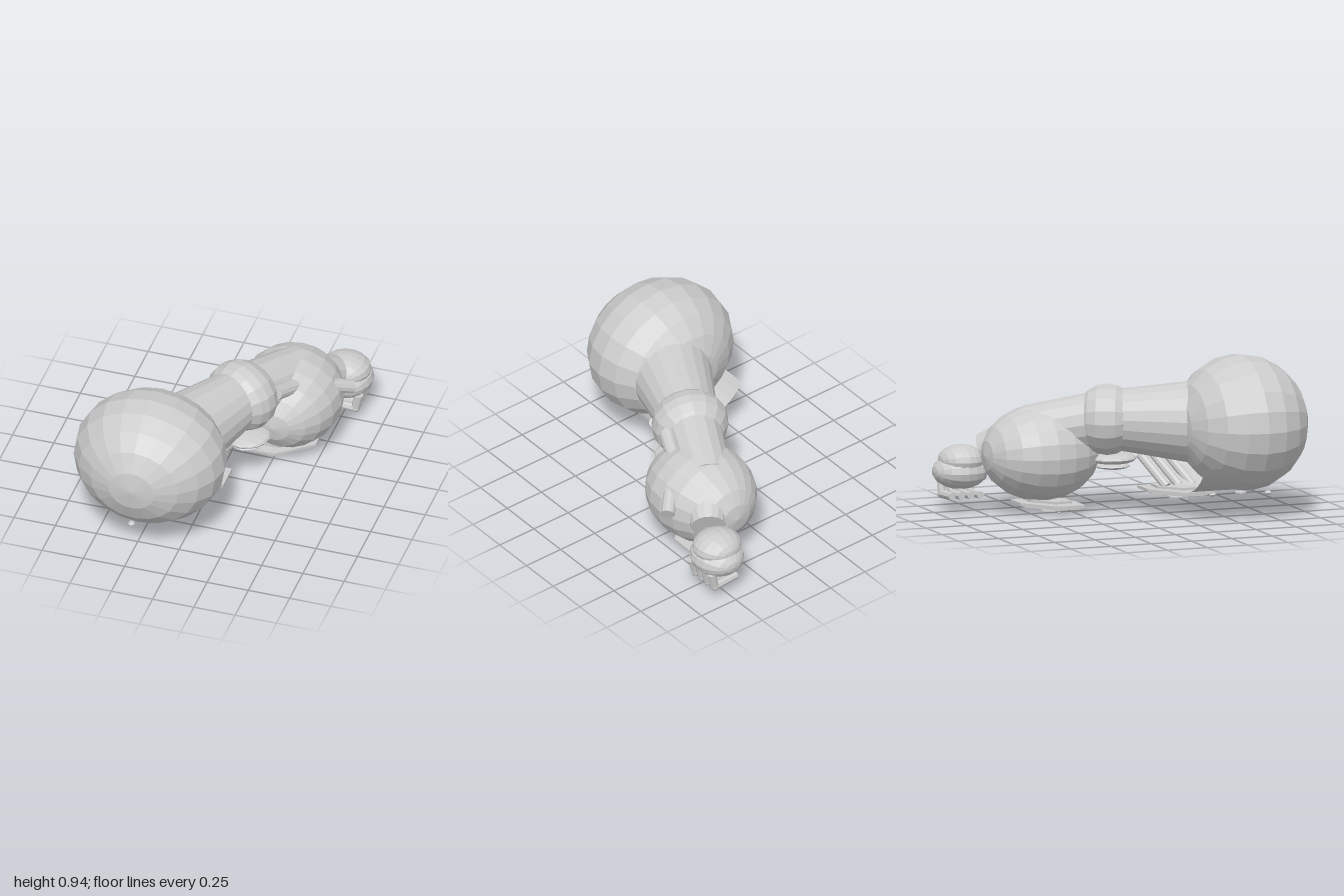
import * as THREE from 'three';

export function createModel() {
  const model = new THREE.Group();
  model.name = 'mechanicalArm';
  const metal = new THREE.MeshStandardMaterial({ color: 0xcccccc, flatShading: true, side: THREE.DoubleSide });
  metal.name = 'light grey metal';
  const V = (p) => new THREE.Vector3(...p);
  const UP = new THREE.Vector3(0, 1, 0);

  function add(name, geo, pos = [0, 0, 0], parent = model) {
    const mesh = new THREE.Mesh(geo, metal);
    mesh.name = name;
    mesh.position.set(...pos);
    parent.add(mesh);
    return mesh;
  }
  // Ellipsoid whose poles lie on z
  function ball(name, pos, [rx, ry, rz], w = 20, h = 10) {
    const geo = new THREE.SphereGeometry(1, w, h).rotateX(Math.PI / 2);
    return add(name, geo.scale(rx, ry, rz), pos);
  }
  // Tapered rod between two points
  function rod(name, a, b, ra, rb = ra, sides = 12) {
    const d = V(b).sub(V(a));
    const mesh = add(name, new THREE.CylinderGeometry(rb, ra, d.length(), sides));
    mesh.position.copy(V(a).addScaledVector(d, 0.5));
    mesh.quaternion.setFromUnitVectors(UP, d.normalize());
    return mesh;
  }

  const elbow = [0.115, 0.55, -0.08];

  // Main masses
  ball('shoulder', [-0.215, 0.54, 0.62], [0.45, 0.397, 0.38]);
  rod('upperArm', [-0.13, 0.54, 0.44], [0.095, 0.55, -0.04], 0.25, 0.175, 20);
  ball('elbow', elbow, [0.225, 0.21, 0.185], 16, 10).rotation.y = -0.44;
  ball('forearm', [0.3, 0.35, -0.42], [0.31, 0.28, 0.35]);
  rod('forearmCore', elbow, [0.32, 0.47, -0.5], 0.175, 0.155, 16);
  rod('wrist', [0.32, 0.45, -0.48], [0.475, 0.35, -0.71], 0.15, 0.1, 16);

  // Rods on the outer side of the forearm
  rod('forearmRod', [0.31, 0.59, -0.11], [0.44, 0.49, -0.42], 0.045);
  rod('sideNozzle', [0.52, 0.47, -0.42], [0.635, 0.405, -0.535], 0.042);

  // Pads below the elbow
  ball('elbowPad', [0.16, 0.315, -0.03], [0.14, 0.035, 0.14], 16, 8);
  ball('elbowPadLower', [0.16, 0.27, -0.03], [0.105, 0.02, 0.105], 16, 6);

  // Curved guard below the shoulder
  const guard = new THREE.CylinderGeometry(0.385, 0.385, 0.42, 12, 1, true, -1, 1.8);
  guard.rotateX(Math.PI / 2);
  add('shoulderGuard', guard, [-0.215, 0.54, 0.48]);

  // Slanted cylinders below the upper arm
  for (let i = 0; i < 3; i++) {
    const z = 0.12 + i * 0.08;
    rod('slantedCylinder', [0.1, 0.335, z], [-0.06, 0.165, z + 0.1], 0.028, 0.028, 10);
  }

  // Six-sided plate with two opposite corners cut off
  const outline = [[0.18, 0.16], [0.18, 0], [-0.02, -0.16], [-0.18, -0.16], [-0.18, 0], [0.02, 0.16]];
  function slab(scale, height) {
    const shape = new THREE.Shape(outline.map(([x, y]) => new THREE.Vector2(x * scale, y * scale)));
    return new THREE.ExtrudeGeometry(shape, { depth: height, bevelEnabled: false }).rotateX(-Math.PI / 2);
  }
  // Layered plates below the arm
  function plateStack(name, pos) {
    const stack = new THREE.Group();
    stack.name = name;
    stack.position.set(...pos);
    model.add(stack);
    for (const [scale, height, y] of [[0.65, 0.014, 0.022], [1, 0.016, 0.002], [0.85, 0.012, -0.01], [0.36, 0.01, -0.02], [0.2, 0.007, -0.036]]) {
      add('plate', slab(scale, height), [0, y, 0], stack);
    }
    for (const s of [-1, 1]) add('plateScrew', new THREE.SphereGeometry(0.007, 6, 4), [s * 0.1, -0.031, -s * 0.03], stack);
  }
  plateStack('forearmPlates', [0.285, 0.04, -0.38]);
  plateStack('upperArmPlates', [-0.065, 0.135, 0.27]);

  // Studs below the shoulder
  for (const [x, y, z] of [[-0.285, 0.132, 0.76], [-0.195, 0.125, 0.45]]) {
    ball('stud', [x, y, z], [0.021, 0.014, 0.021], 8, 6);
  }
  add('studDisc', new THREE.CylinderGeometry(0.035, 0.035, 0.008, 10), [-0.16, 0.122, 0.64]);

  // Hand
  ball('palm', [0.51, 0.235, -0.835], [0.155, 0.105, 0.165], 16, 10);
  ball('backOfHand', [0.505, 0.3, -0.83], [0.148, 0.09, 0.135], 16, 10);
  for (let i = 0; i < 4; i++) {
    const z = -0.742 - i * 0.058;
    rod('fingerBase', [0.61, 0.19, z], [0.59, 0.092, z], 0.027, 0.026, 8);
    ball('knuckle', [0.59, 0.092, z], [0.027, 0.026, 0.027], 8, 6);
    rod('fingerTip', [0.59, 0.092, z], [0.43, 0.1, z], 0.026, 0.022, 8);
  }
  return model;
}
